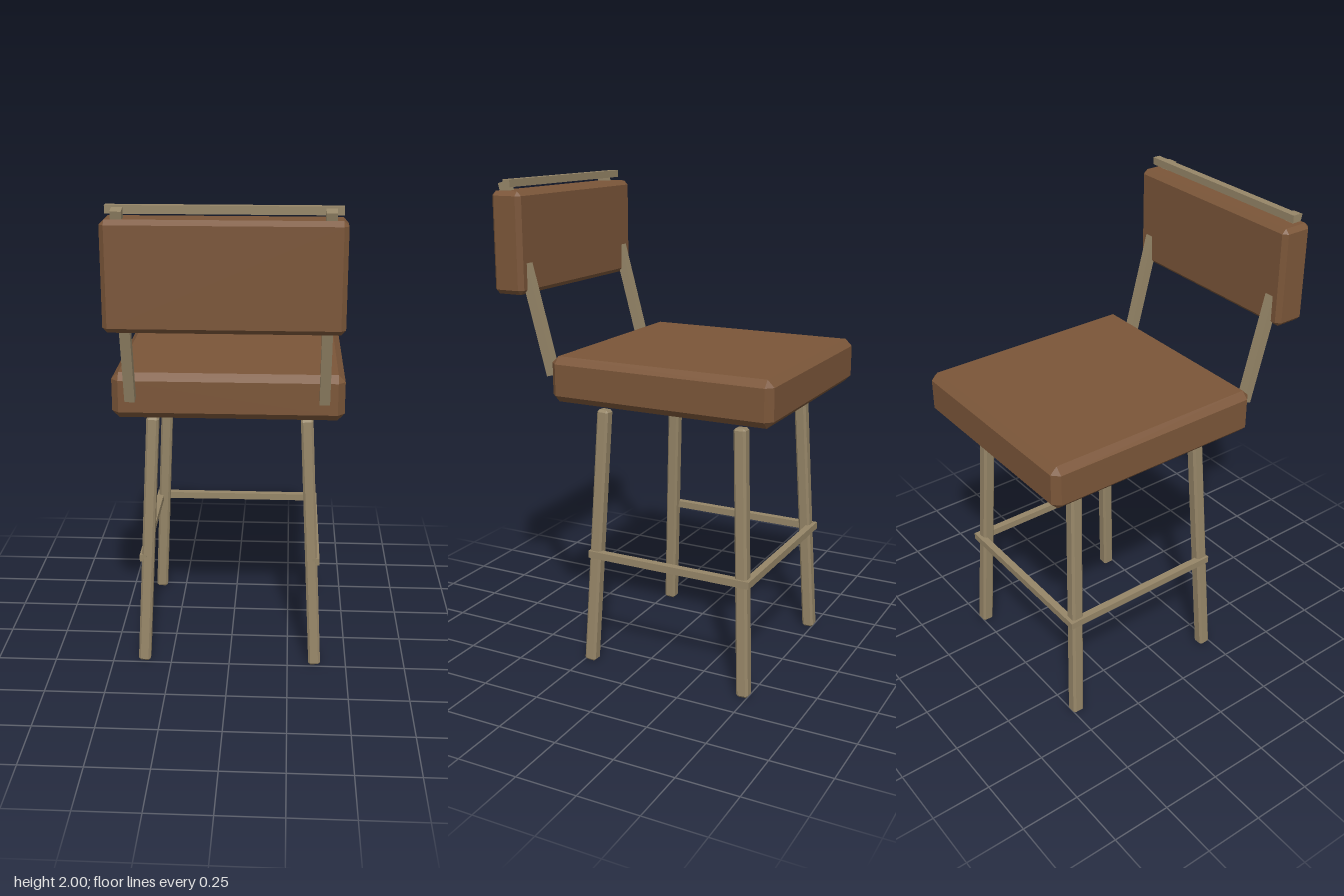
import * as THREE from 'three';
import { ConvexGeometry } from 'three/addons/geometries/ConvexGeometry.js';

const leather = new THREE.MeshStandardMaterial({ color: 0x7b5639, flatShading: true });
const wood = new THREE.MeshStandardMaterial({ color: 0x968668, flatShading: true });
const UP = new THREE.Vector3(0, 1, 0);

// Box with every edge and corner cut by a flat chamfer c
function chamferBox(w, h, d, c) {
  const points = [];
  for (const sx of [-1, 1]) for (const sy of [-1, 1]) for (const sz of [-1, 1]) {
    const x = w / 2, y = h / 2, z = d / 2;
    points.push(
      new THREE.Vector3(sx * x, sy * (y - c), sz * (z - c)),
      new THREE.Vector3(sx * (x - c), sy * y, sz * (z - c)),
      new THREE.Vector3(sx * (x - c), sy * (y - c), sz * z));
  }
  return new ConvexGeometry(points);
}

export function createModel() {
  const model = new THREE.Group();
  model.name = 'barStool';

  function add(name, geometry, material, x, y, z) {
    const mesh = new THREE.Mesh(geometry, material);
    mesh.name = name;
    mesh.position.set(x, y, z);
    model.add(mesh);
    return mesh;
  }

  // Cushions
  add('seat', chamferBox(0.912, 0.184, 0.95, 0.028), leather, 0, 1.23, -0.135);
  add('backrest', chamferBox(0.872, 0.405, 0.136, 0.018), leather, 0, 1.753, 0.538);

  // Splayed legs
  const legZ = -0.13;
  for (const sx of [1, -1]) for (const sz of [1, -1]) {
    const foot = new THREE.Vector3(sx * 0.366, 0.003, legZ + sz * 0.352);
    const top = new THREE.Vector3(sx * 0.313, 1.095, legZ + sz * 0.301);
    const axis = top.clone().sub(foot);
    const mid = foot.clone().add(top).multiplyScalar(0.5);
    const name = (sx > 0 ? 'left' : 'right') + (sz > 0 ? 'Front' : 'Rear') + 'Leg';
    const leg = add(name, chamferBox(0.051, axis.length(), 0.051, 0.009), wood, mid.x, mid.y, mid.z);
    leg.quaternion.setFromUnitVectors(UP, axis.normalize());
  }

  // Stretchers on both sides and along the rear legs
  for (const sx of [1, -1]) {
    add(sx > 0 ? 'leftStretcher' : 'rightStretcher',
      new THREE.BoxGeometry(0.03, 0.03, 0.71), wood, sx * 0.362, 0.482, -0.13);
  }
  add('rearStretcher', new THREE.BoxGeometry(0.755, 0.03, 0.03), wood, 0, 0.482, -0.485);

  // Leaning backrest posts and the rail across their tops
  for (const sx of [1, -1]) {
    const post = add(sx > 0 ? 'leftPost' : 'rightPost',
      new THREE.BoxGeometry(0.04, 0.785, 0.04), wood, sx * 0.375, 1.609, 0.473);
    post.rotation.x = 0.262;
  }
  add('topRail', new THREE.BoxGeometry(0.84, 0.03, 0.032), wood, 0, 1.985, 0.537);

  return model;
}
